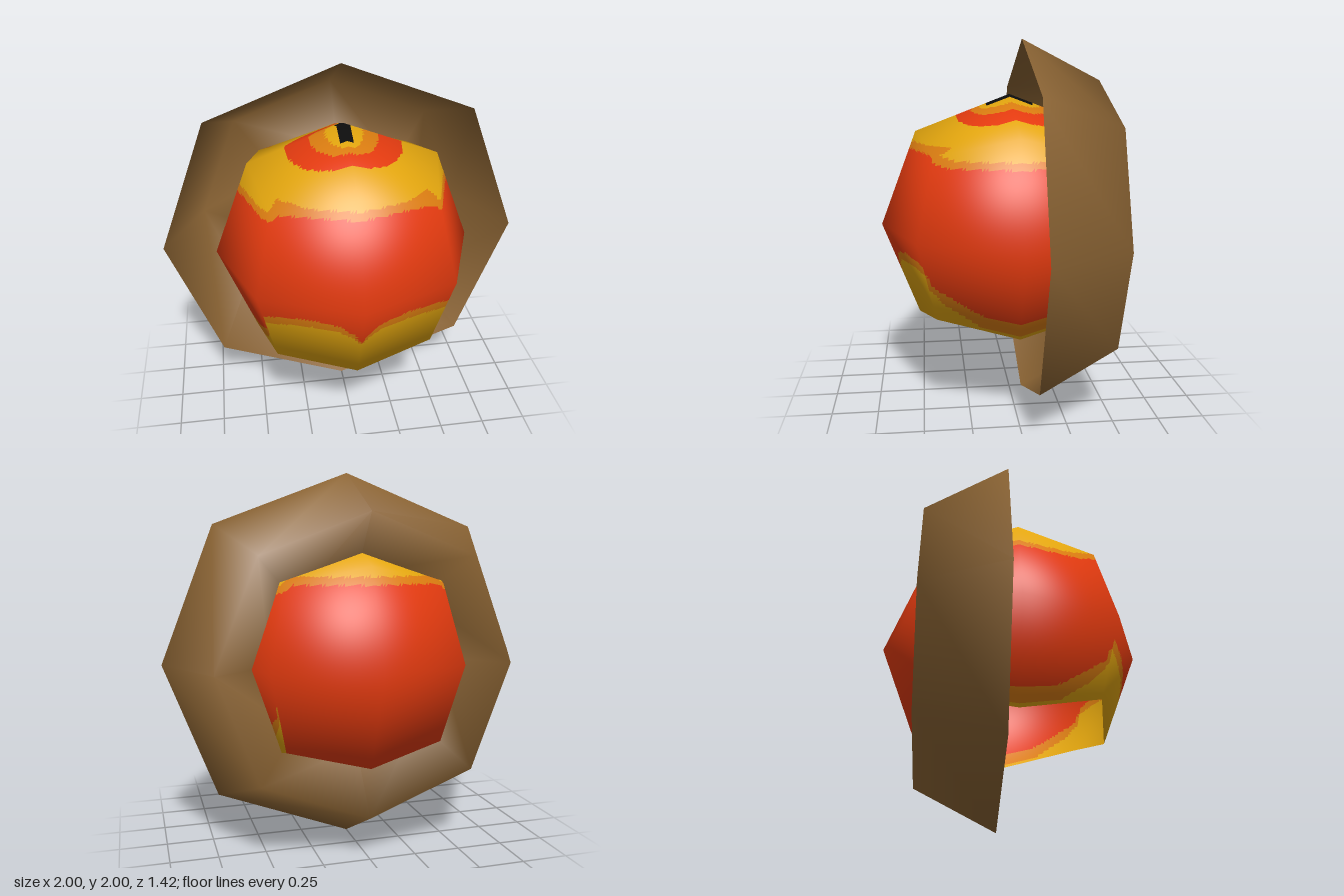
import * as THREE from 'three';
import { mergeVertices } from 'three/addons/utils/BufferGeometryUtils.js';

const mat = (name, color) => {
  const m = new THREE.MeshStandardMaterial({ color, side: THREE.DoubleSide });
  m.name = name;
  return m;
};

// straight-line interpolation through [t, value] points
function ramp(points, t) {
  for (let i = 1; i < points.length; i++) {
    const [t0, v0] = points[i - 1], [t1, v1] = points[i];
    if (t <= t1) return v0 + (v1 - v0) * (t - t0) / (t1 - t0);
  }
  return points[points.length - 1][1];
}

const RED = 0, YELLOW = 1, ORANGE = 2, BLACK = 3;

// upper limits of the lower markings, across the front and along the sides
const frontOrange = [[0, -0.26], [0.03, -0.2], [0.1, -0.135], [0.25, -0.105], [0.4, -0.11], [0.6, -0.13]];
const frontYellow = [[0, -0.26], [0.05, -0.21], [0.12, -0.175], [0.25, -0.16], [0.6, -0.17]];
const sideOrange = [[0, -0.42], [0.2, -0.38], [0.3, -0.32], [0.44, -0.23], [0.49, -0.12], [0.6, -0.1]];
const sideYellow = [[0, -0.5], [0.2, -0.45], [0.38, -0.33], [0.46, -0.24], [0.5, -0.17], [0.6, -0.16]];

// colour of a point on the ball, measured from its centre
function paint(x, y, z) {
  const ax = Math.abs(x), az = Math.abs(z);
  if (y > 0) {
    // concentric rings around the dark slit on top
    const inside = (rx, rz) => Math.hypot(x / rx, z / rz) < 1;
    if (y > 0.5) {
      if (ax < 0.04 && az < 0.13) return BLACK;
      if (inside(0.1, 0.165)) return YELLOW;
      if (inside(0.18, 0.21)) return ORANGE;
      if (inside(0.31, 0.29)) return RED;
    }
    const s = THREE.MathUtils.clamp((ax - 0.38) / 0.08, 0, 1);
    if (y > 0.46 - 0.06 * s) return YELLOW;
    return y > 0.42 - 0.055 * s ? ORANGE : RED;
  }
  // lower markings: front and both sides, plain at the back
  if (ax > az) {
    if (y < ramp(sideYellow, az)) return YELLOW;
    return y < ramp(sideOrange, az) ? ORANGE : RED;
  }
  if (z < 0) return RED;
  if (y < ramp(frontYellow, ax)) return YELLOW;
  return y < ramp(frontOrange, ax) ? ORANGE : RED;
}

// low-poly ball from a cube with two cells per side, open underneath
function ballGeometry() {
  const n = 56;
  const geo = new THREE.BoxGeometry(2, 2, 2, n, n, n);
  const pos = geo.attributes.position, nor = geo.attributes.normal;
  const [AXIS, EDGE, CORNER] = [0.708, 0.512, 0.42];
  const pull = (b, c) =>
    (1 - b) * (1 - c) * AXIS + (b * (1 - c) + c * (1 - b)) * EDGE + b * c * CORNER;
  const v = new THREE.Vector3();
  for (let i = 0; i < pos.count; i++) {
    const x = pos.getX(i), y = pos.getY(i), z = pos.getZ(i);
    const a = Math.abs(x), b = Math.abs(y), c = Math.abs(z);
    v.set(x * pull(b, c), y * pull(a, c), z * pull(a, b));
    pos.setXYZ(i, v.x, v.y, v.z);
    v.normalize();
    nor.setXYZ(i, v.x, v.y, v.z);
  }
  // sort the faces by colour, leaving out the bottom side
  const buckets = [[], [], [], []];
  const index = geo.index.array;
  const bottom = geo.groups[3];
  for (let i = 0; i < index.length; i += 3) {
    if (i >= bottom.start && i < bottom.start + bottom.count) continue;
    const tri = [index[i], index[i + 1], index[i + 2]];
    const mid = (axis) => tri.reduce((sum, k) => sum + pos.getComponent(k, axis), 0) / 3;
    buckets[paint(mid(0), mid(1), mid(2))].push(...tri);
  }
  geo.clearGroups();
  let start = 0;
  buckets.forEach((list, k) => {
    geo.addGroup(start, list.length, k);
    start += list.length;
  });
  geo.setIndex(buckets.flat());
  return geo;
}

// eight-sided collar with a V-shaped section, its rim towards the front
function collarGeometry() {
  const profile = [[1, -0.07], [0.78, -0.5], [0.47, -0.265]].map(([r, z]) => new THREE.Vector2(r, z));
  let geo = new THREE.LatheGeometry(profile, 8);
  geo.rotateX(Math.PI / 2);
  const pos = geo.attributes.position;
  for (let i = 0; i < pos.count; i++) {
    const x = pos.getX(i), y = pos.getY(i);
    const k = Math.abs(x * y) > 0.01 ? 1.022 : 1;
    pos.setXY(i, x * k, y * k);
  }
  geo.deleteAttribute('uv');
  geo.deleteAttribute('normal');
  geo = mergeVertices(geo, 1e-4);
  geo.computeVertexNormals();
  return geo;
}

export function createModel() {
  const model = new THREE.Group();
  const red = mat('red', 0xe23a0f);
  const yellow = mat('yellow', 0xe2a50e);
  const orange = mat('orange', 0xda7c10);
  const black = mat('black', 0x0d0d0d);
  const brown = mat('brown', 0x8a6333);

  const ball = new THREE.Mesh(ballGeometry(), [red, yellow, orange, black]);
  ball.name = 'ball';
  const collar = new THREE.Mesh(collarGeometry(), brown);
  collar.name = 'collar';
  for (const part of [ball, collar]) {
    part.position.y = 1;
    model.add(part);
  }
  return model;
}
